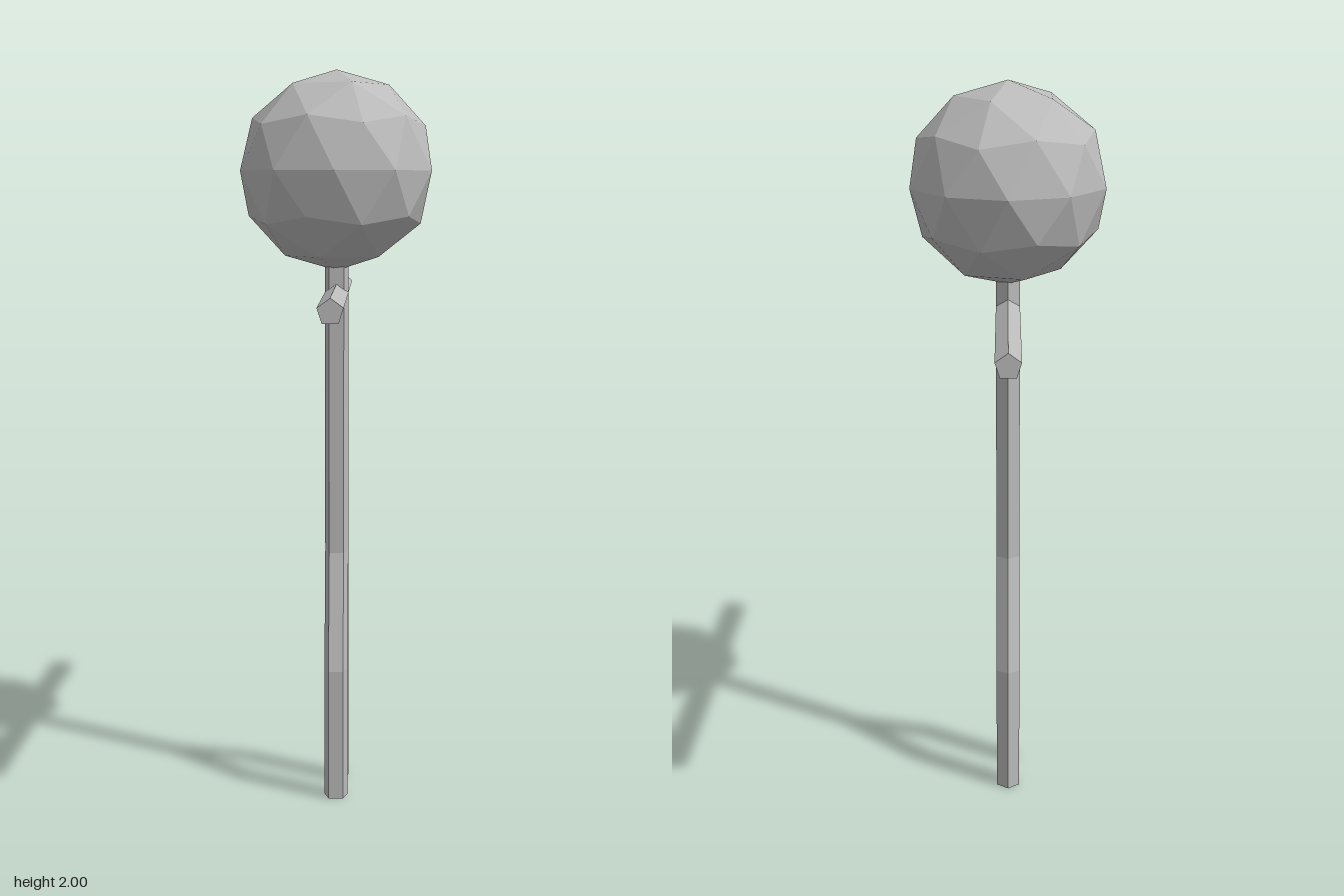
import * as THREE from 'three';

const R = 0.034; // limb radius, five-sided

// Five-sided upright limb from y0 to y1, sheared so its ends sit at z0 and z1
function limb(y0, z0, y1, z1) {
  const g = new THREE.CylinderGeometry(R, R, y1 - y0, 5, 1, false, Math.PI);
  g.translate(0, (y0 + y1) / 2, 0);
  const p = g.attributes.position;
  for (let i = 0; i < p.count; i++) {
    const t = (p.getY(i) - y0) / (y1 - y0);
    p.setZ(i, p.getZ(i) + z0 + (z1 - z0) * t);
  }
  g.computeVertexNormals();
  return g;
}

export function createModel() {
  const model = new THREE.Group();
  model.name = 'stickFigure';
  const grey = new THREE.MeshStandardMaterial({ color: 0xbbbbbb, flatShading: true });
  grey.name = 'plainGrey';

  const add = (name, geometry) => {
    const mesh = new THREE.Mesh(geometry, grey);
    mesh.name = name;
    model.add(mesh);
    return mesh;
  };

  // Faceted head with a vertex at each pole
  const head = new THREE.IcosahedronGeometry(0.267, 1);
  head.rotateZ(-Math.atan(2 / (1 + Math.sqrt(5))));
  add('head', head).position.y = 1.733;

  // Torso and neck
  add('torso', limb(0.685, 0, 1.49, 0));

  // Arms and legs spread along z
  for (const s of [1, -1]) {
    const side = s > 0 ? 'front' : 'back';
    const arm = new THREE.CylinderGeometry(R, R, 0.58, 5);
    arm.rotateX(-Math.PI / 2);
    add(side + 'Arm', arm).position.set(0, 1.396, s * 0.29);
    add(side + 'Thigh', limb(0.367, s * 0.077, 0.685, 0));
    add(side + 'Shin', limb(0, s * 0.077, 0.367, s * 0.077));
  }
  return model;
}
